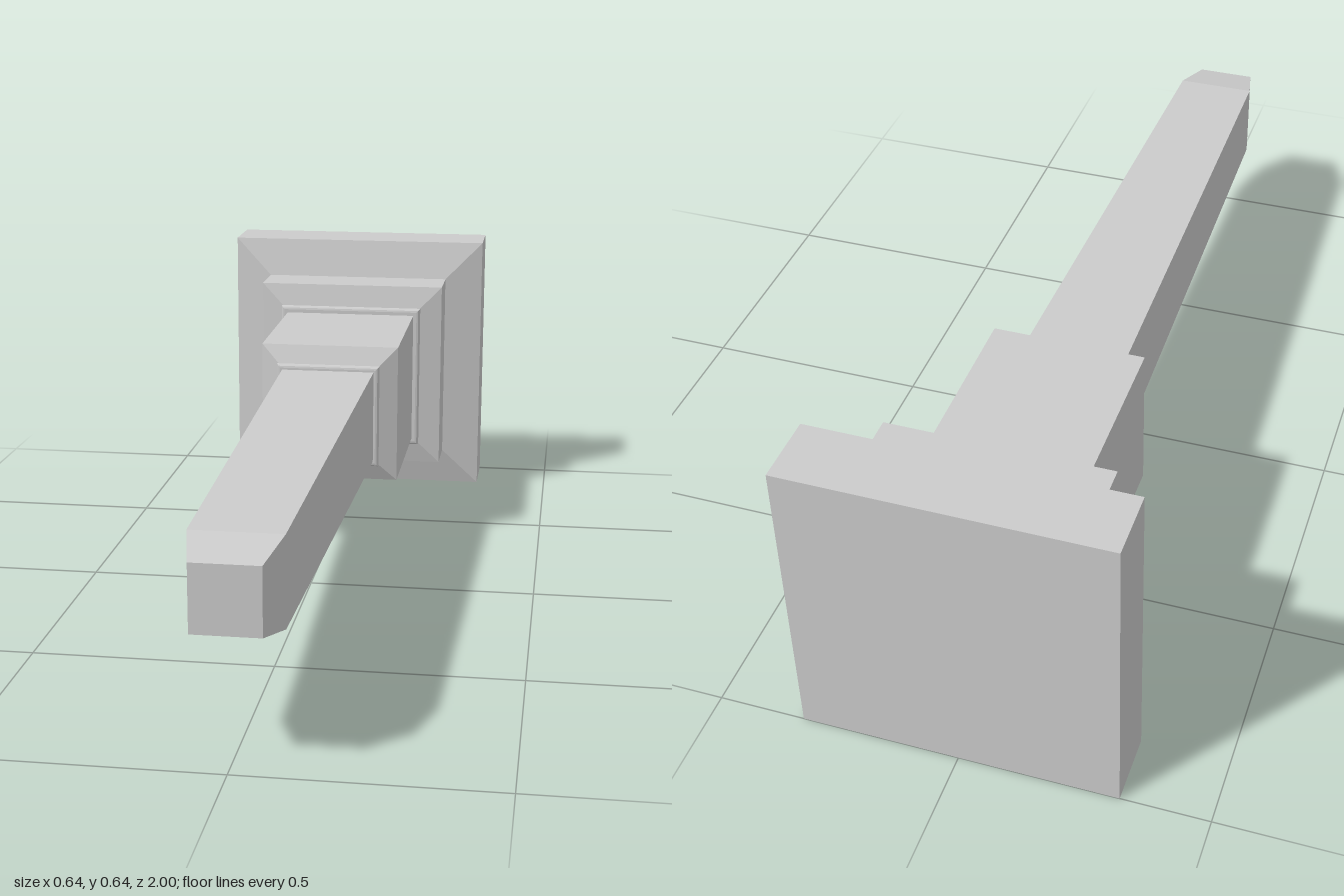
import * as THREE from 'three';

const CENTRE_Y = 0.3225;

// Square section swept along z; profile is a list of [half width, z] from back to front
function squareLoft(name, profile, material) {
  const points = profile.map(([half, z]) => new THREE.Vector2(half * Math.SQRT2, z));
  const geometry = new THREE.LatheGeometry(points, 4, Math.PI / 4);
  geometry.rotateX(Math.PI / 2);
  const mesh = new THREE.Mesh(geometry, material);
  mesh.name = name;
  mesh.position.y = CENTRE_Y;
  return mesh;
}

// Half-round bead profile that steps from one half width to a smaller one
function beadProfile(outer, inner, back, front) {
  const profile = [[inner, back]];
  const radius = (front - back) / 2;
  for (let i = 0; i <= 6; i++) {
    const a = (i / 6) * Math.PI;
    profile.push([outer - radius + radius * Math.sin(a), (back + front) / 2 - radius * Math.cos(a)]);
  }
  profile.push([inner, front]);
  return profile;
}

export function createModel() {
  const group = new THREE.Group();
  group.name = 'steppedSpike';
  const material = new THREE.MeshStandardMaterial({ color: 0xcccccc, flatShading: true });

  const parts = {
    // Wall plate with sloped front
    basePlate: [[0, -1], [0.3225, -1], [0.3225, -0.858], [0.23, -0.833]],
    // Second step, chamfered towards the rear bead
    baseStep: [[0.23, -0.833], [0.23, -0.714], [0.175, -0.701], [0.161, -0.701]],
    rearBead: beadProfile(0.178, 0.161, -0.701, -0.683),
    // Thick socket, chamfered towards the front bead
    socket: [[0.161, -0.701], [0.161, -0.303], [0.118, -0.283], [0.108, -0.283]],
    frontBead: beadProfile(0.121, 0.108, -0.283, -0.266),
    // Long tapering shaft with a blunt tip
    shaft: [[0.108, -0.283], [0.108, -0.266], [0.088, 0.893]],
    tip: [[0.088, 0.893], [0.065, 1], [0, 1]],
  };
  for (const [name, profile] of Object.entries(parts)) {
    group.add(squareLoft(name, profile, material));
  }
  return group;
}
